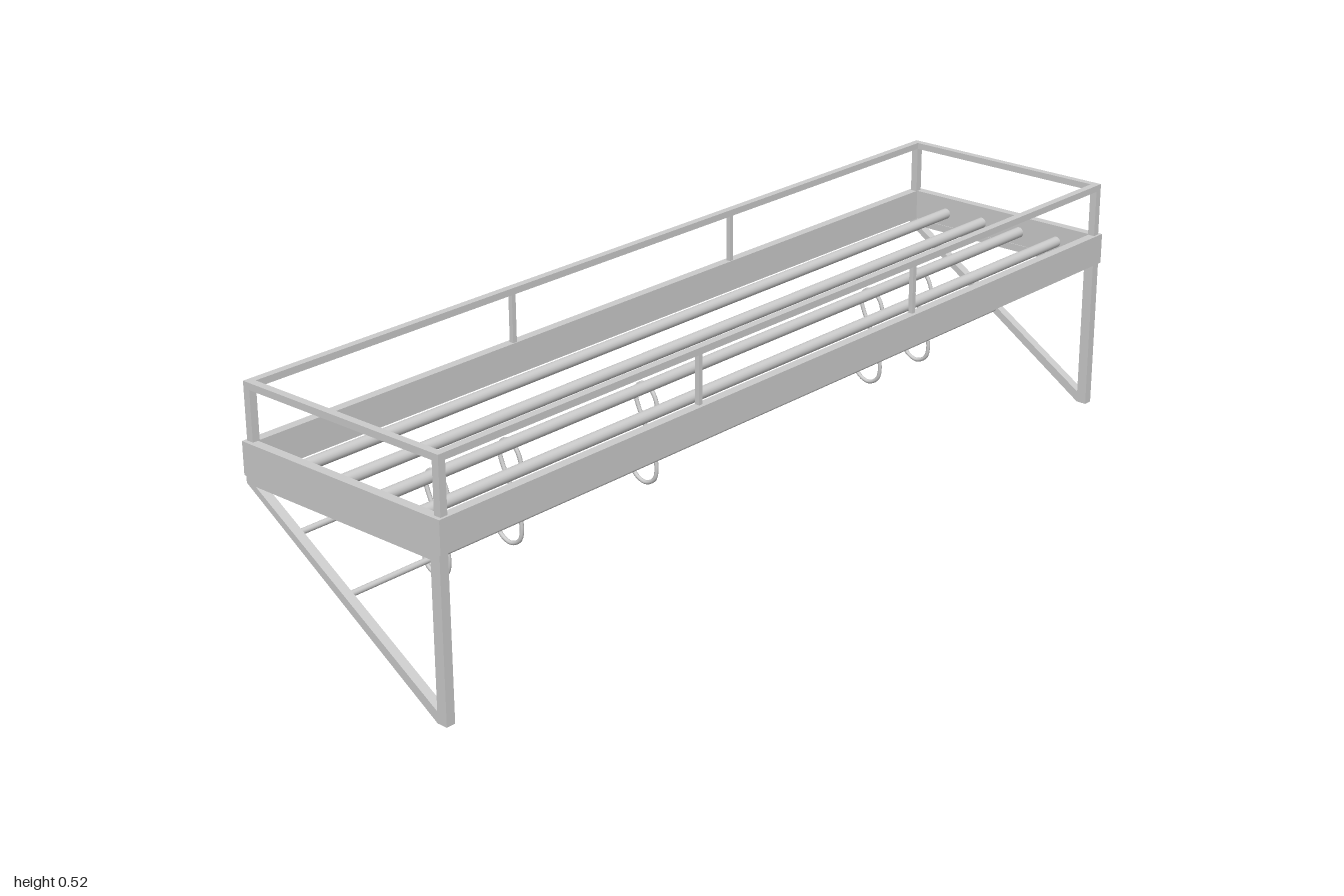
import * as THREE from 'three';

const material = new THREE.MeshStandardMaterial({ color: 0xcccccc });

export function createModel() {
  const model = new THREE.Group();
  model.name = 'wallShelf';

  const add = (name, geometry, x = 0, y = 0, z = 0) => {
    const mesh = new THREE.Mesh(geometry, material);
    mesh.name = name;
    mesh.position.set(x, y, z);
    model.add(mesh);
    return mesh;
  };

  // Rectangular ring lying flat, open in the middle
  const ring = (halfX, halfZ, wall, height) => {
    const rect = (Type, a, b) => new Type([
      new THREE.Vector2(-a, -b), new THREE.Vector2(a, -b),
      new THREE.Vector2(a, b), new THREE.Vector2(-a, b),
    ]);
    const shape = rect(THREE.Shape, halfX, halfZ);
    shape.holes.push(rect(THREE.Path, halfX - wall, halfZ - wall));
    return new THREE.ExtrudeGeometry(shape, { depth: height, bevelEnabled: false }).rotateX(-Math.PI / 2);
  };

  // Deep band around the shelf and the guard rail above it
  add('shelfBand', ring(0.258, 1, 0.02, 0.067), 0, 0.333);
  add('guardRail', ring(0.253, 0.992, 0.016, 0.014), 0, 0.502);

  // Guard rail posts: thick at the corners, thin between
  for (const x of [-0.245, 0.245]) {
    for (const z of [-0.984, 0.984]) {
      add('cornerPost', new THREE.BoxGeometry(0.016, 0.104, 0.016), x, 0.451, z);
    }
    for (const z of [-0.326, 0.326]) {
      add('middlePost', new THREE.BoxGeometry(0.01, 0.104, 0.01), x, 0.451, z);
    }
  }

  // Round bars forming the shelf floor
  const rod = (radius, length) =>
    new THREE.CylinderGeometry(radius, radius, length, 20).rotateX(Math.PI / 2);
  for (const x of [-0.154, -0.053, 0.05, 0.151]) {
    add('floorBar', rod(0.012, 1.97), x, 0.363, 0);
  }

  // Triangular end brackets
  const bracket = new THREE.Shape();
  bracket.moveTo(-0.255, 0.333).lineTo(-0.255, 0.318).lineTo(0.23, 0)
    .lineTo(0.253, 0).lineTo(0.253, 0.333).closePath();
  const opening = new THREE.Path();
  opening.moveTo(-0.23, 0.317).lineTo(0.23, 0.317).lineTo(0.23, 0.024).closePath();
  bracket.holes.push(opening);
  const bracketGeometry = new THREE.ExtrudeGeometry(bracket, { depth: 0.02, bevelEnabled: false });
  add('frontBracket', bracketGeometry, 0, 0, 0.978);
  add('backBracket', bracketGeometry, 0, 0, -0.998);

  // Thin hanging rods between the brackets
  add('hookRod', rod(0.006, 1.97), -0.136, 0.249, 0);
  add('lowerRod', rod(0.006, 1.97), -0.008, 0.166, 0);

  // S-shaped hooks
  const path = new THREE.CatmullRomCurve3([
    [-0.178, 0.087], [-0.165, 0.055], [-0.137, 0.042], [-0.111, 0.055],
    [-0.104, 0.08], [-0.11, 0.115], [-0.131, 0.165], [-0.154, 0.211],
    [-0.161, 0.238], [-0.151, 0.257], [-0.133, 0.2625], [-0.114, 0.25],
    [-0.105, 0.235], [-0.1, 0.217],
  ].map(([x, y]) => new THREE.Vector3(x, y, 0)));
  const hookGeometry = new THREE.TubeGeometry(path, 64, 0.0045, 10);
  const endCap = new THREE.SphereGeometry(0.0045, 10, 8);
  for (const z of [0.65, 0.455, 0.065, -0.68, -0.86]) {
    const hook = add('hook', hookGeometry, 0, 0, z);
    for (const t of [0, 1]) {
      const cap = new THREE.Mesh(endCap, material);
      cap.name = 'hookEnd';
      cap.position.copy(path.getPoint(t));
      hook.add(cap);
    }
  }

  return model;
}
